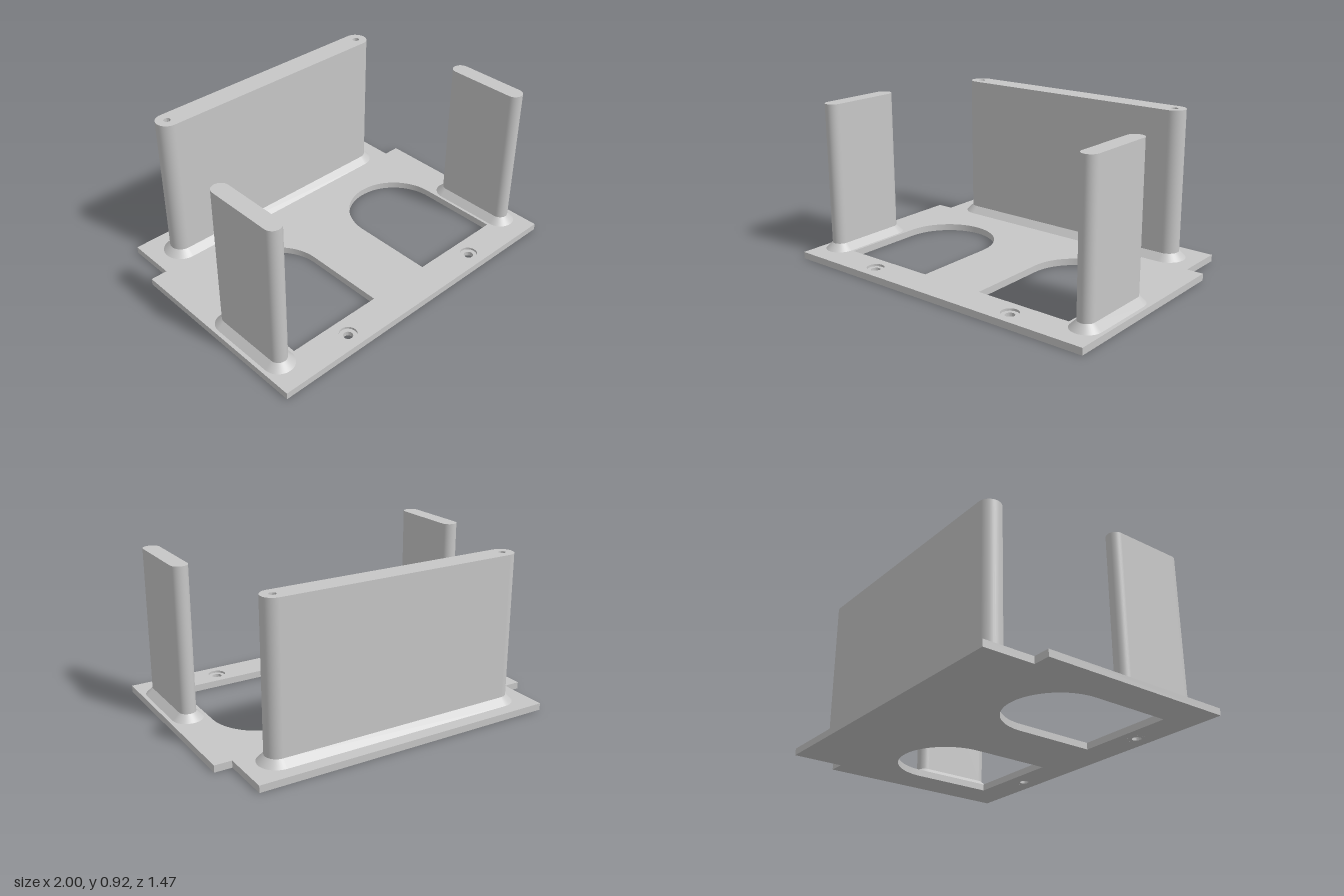
import * as THREE from 'three';
import { mergeGeometries, toCreasedNormals } from 'three/addons/utils/BufferGeometryUtils.js';

const PLATE = 0.04, FOOT = 0.08, TOP = 0.92, ARC = 20;

// Angles and centre offsets around a capsule outline lying along x
function capsuleOutline(half) {
  const points = [];
  for (const side of [1, -1]) {
    for (let i = 0; i <= ARC; i++) {
      points.push({ a: (side > 0 ? -0.5 : 0.5) * Math.PI + (i / ARC) * Math.PI, cx: side * half });
    }
  }
  return points;
}

// One smooth side band between two capsule outlines
function band(half, r0, y0, r1, y1) {
  const outline = capsuleOutline(half), n = outline.length;
  const slope = new THREE.Vector2(y1 - y0, r0 - r1).normalize();
  const position = [], normal = [], uv = [], index = [];
  outline.forEach(({ a, cx }, i) => {
    for (const [r, y] of [[r0, y0], [r1, y1]]) {
      position.push(cx + r * Math.cos(a), y, r * Math.sin(a));
      normal.push(slope.x * Math.cos(a), slope.y, slope.x * Math.sin(a));
      uv.push(i / n, y);
    }
    const l0 = 2 * i, l1 = 2 * ((i + 1) % n);
    index.push(l0, l0 + 1, l1 + 1, l0, l1 + 1, l1);
  });
  const geo = new THREE.BufferGeometry();
  geo.setAttribute('position', new THREE.Float32BufferAttribute(position, 3));
  geo.setAttribute('normal', new THREE.Float32BufferAttribute(normal, 3));
  geo.setAttribute('uv', new THREE.Float32BufferAttribute(uv, 2));
  geo.setIndex(index);
  return geo;
}

function circlePath(x, y, r) {
  return new THREE.Path().absarc(x, y, r, 0, Math.PI * 2, true);
}

// Upright with rounded ends, a chamfered foot and optional holes in its top
function upright(half, r, holeX = [], holeR = 0.02) {
  const shape = new THREE.Shape(
    capsuleOutline(half).map(({ a, cx }) => new THREE.Vector2(cx + r * Math.cos(a), r * Math.sin(a))));
  holeX.forEach((x) => shape.holes.push(circlePath(x, 0, holeR)));
  const cap = new THREE.ShapeGeometry(shape, 16).rotateX(-Math.PI / 2).translate(0, TOP, 0);
  return mergeGeometries([
    band(half, r + 0.04, PLATE, r, FOOT),
    band(half, r, FOOT, r, TOP),
    cap,
  ]);
}

function lathe(points) {
  const geo = new THREE.LatheGeometry(points.map(([x, y]) => new THREE.Vector2(x, y)), 32);
  return toCreasedNormals(geo, 0.6);
}

export function createModel() {
  const model = new THREE.Group();
  const grey = new THREE.MeshStandardMaterial({ color: 0xc6c6c6 });
  grey.name = 'lightGrey';
  const add = (name, geo, x = 0, y = 0, z = 0) => {
    const mesh = new THREE.Mesh(geo, grey);
    mesh.name = name;
    mesh.position.set(x, y, z);
    model.add(mesh);
    return mesh;
  };

  // Base plate with notched back corners, arched windows and screw holes (shape y is -z)
  const plate = new THREE.Shape([
    [-1, -0.735], [1, -0.735], [1, 0.437], [0.9, 0.437],
    [0.9, 0.735], [-0.9, 0.735], [-0.9, 0.437], [-1, 0.437],
  ].map(([x, y]) => new THREE.Vector2(x, y)));
  for (const s of [-1, 1]) {
    const cx = s * 0.49, r = 0.293;
    const arch = new THREE.Path();
    arch.moveTo(cx - r, -0.54);
    arch.lineTo(cx + r, -0.54);
    arch.lineTo(cx + r, -0.052);
    arch.absarc(cx, -0.052, r, 0, Math.PI, false);
    arch.closePath();
    plate.holes.push(arch, circlePath(cx, -0.639, 0.05));
  }
  const plateGeo = new THREE.ExtrudeGeometry(plate, { depth: PLATE, bevelEnabled: false, curveSegments: 32 });
  add('basePlate', toCreasedNormals(plateGeo.rotateX(-Math.PI / 2), 0.6));

  // Back wall with two blind screw holes
  add('backWall', upright(0.706, 0.068, [-0.708, 0.708]), 0, 0, -0.551);

  for (const s of [-1, 1]) {
    const side = s > 0 ? 'left' : 'right';
    // Side post
    add(side + 'Post', upright(0.195, 0.049), s * 0.889, 0, 0.348).rotation.y = Math.PI / 2;
    // Recessed seat of the plate's screw hole
    add(side + 'ScrewSeat', lathe([[0.05, 0.027], [0.027, 0.027], [0.027, 0], [0.05, 0]]), s * 0.49, 0, 0.639);
    // Lining of the wall's blind hole
    add(side + 'WallHole', lathe([[0.02, TOP], [0.02, TOP - 0.2], [0, TOP - 0.2]]), s * 0.708, 0, -0.551);
  }
  return model;
}
